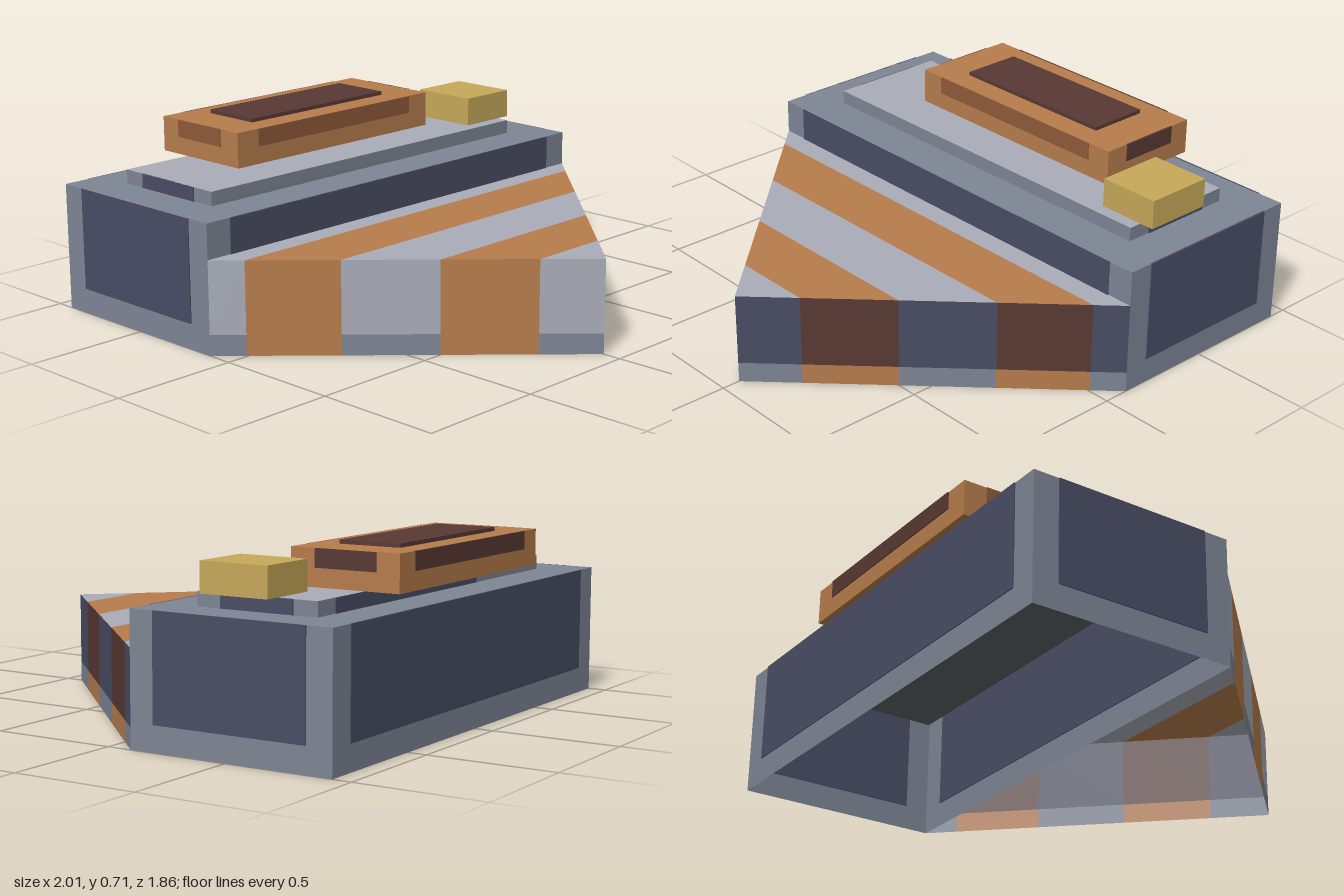
import * as THREE from 'three';

const mat = (name, color) => {
  const m = new THREE.MeshStandardMaterial({ color, side: THREE.DoubleSide });
  m.name = name;
  return m;
};

export function createModel() {
  const frame = mat('midGrey', 0x7d8594);
  const light = mat('lightGrey', 0xa9adb8);
  const orange = mat('orange', 0xb67c4c);
  const navy = mat('navy', 0x494d64);
  const dark = mat('darkBrown', 0x583933);
  const brown = mat('midBrown', 0x8e5a3a);
  const gold = mat('gold', 0xc6a859);
  const charcoal = mat('charcoal', 0x5b5f62);

  const model = new THREE.Group();
  const add = (parent, name, geometry, material) => {
    const m = new THREE.Mesh(geometry, material);
    m.name = name;
    parent.add(m);
    return m;
  };
  // Box given by its extents on each axis
  const box = (name, [x0, x1], [y0, y1], [z0, z1], material) => {
    const m = add(model, name, new THREE.BoxGeometry(x1 - x0, y1 - y0, z1 - z0), material);
    m.position.set((x0 + x1) / 2, (y0 + y1) / 2, (z0 + z1) / 2);
    return m;
  };
  // Flat face from four corners, counter-clockwise from its front
  const quad = (parent, name, a, b, c, d, material) => {
    const g = new THREE.BufferGeometry();
    g.setAttribute('position', new THREE.Float32BufferAttribute([...a, ...b, ...c, ...a, ...c, ...d], 3));
    g.computeVertexNormals();
    return add(parent, name, g, material);
  };
  const T = 0.004; // half thickness of inset panels

  // Rear hull: box open at the bottom
  const hull = box('hull', [-1, 1], [0, 0.5], [-0.927, -0.1], frame);
  const hg = hull.geometry;
  const index = Array.from(hg.index.array);
  index.splice(18, 6);
  hg.setIndex(index);
  hg.clearGroups();
  box('hullCeiling', [-0.99, 0.99], [0.488, 0.494], [-0.917, -0.11], charcoal);

  // Dark panels on the four hull walls
  for (const [name, z] of [['hullFrontPanel', -0.1], ['hullBackPanel', -0.927]])
    box(name, [-0.89, 0.89], [0.1, 0.5], [z - T, z + T], navy);
  for (const [name, x] of [['hullLeftPanel', 1], ['hullRightPanel', -1]])
    box(name, [x - T, x + T], [0.1, 0.5], [-0.825, -0.2], navy);

  // Deck slab with light top and dark end panels
  box('deckSlab', [-0.83, 0.83], [0.5, 0.555], [-0.763, -0.268], [frame, frame, light, frame, frame, frame]);
  for (const x of [-0.83, 0.83])
    box('slabEndPanel', [x - T, x + T], [0.5, 0.555], [-0.665, -0.367], navy);
  box('slabBackPanel', [-0.3, 0.72], [0.5, 0.555], [-0.763 - T, -0.763 + T], navy);

  // Orange housing with panels and a raised lid plate
  box('housing', [-0.527, 0.527], [0.555, 0.695], [-0.903, -0.46], orange);
  box('housingFrontPanel', [-0.422, 0.422], [0.625, 0.695], [-0.46 - T, -0.46 + T], brown);
  box('housingBackPanel', [-0.422, 0.422], [0.625, 0.695], [-0.903 - T, -0.903 + T], dark);
  box('housingLeftPanel', [0.527 - T, 0.527 + T], [0.625, 0.695], [-0.81, -0.56], dark);
  box('housingRightPanel', [-0.527 - T, -0.527 + T], [0.625, 0.695], [-0.81, -0.56], brown);
  box('lidPlate', [-0.362, 0.362], [0.69, 0.71], [-0.81, -0.56], dark);

  // Gold block on the side
  box('goldBlock', [0.64, 0.89], [0.555, 0.67], [-0.6, -0.32], gold);

  // Striped wedge nose, open below, sliced into bands along z
  const nose = new THREE.Group();
  nose.name = 'nose';
  model.add(nose);
  const tip = 0.927, H = 0.363, B = 0.08;
  const half = (z) => (tip - z) / (tip + 0.1);
  const cuts = [-0.1, -0.013, 0.243, 0.5, 0.757, tip];
  cuts[1] = -0.005;
  for (let i = 0; i < 5; i++) {
    const [z0, z1] = [cuts[i], cuts[i + 1]];
    const [w0, w1] = [half(z0), half(z1)];
    const striped = i % 2 === 1;
    quad(nose, 'noseTop', [-w0, H, z0], [-w1, H, z1], [w1, H, z1], [w0, H, z0], striped ? orange : light);
    const bands = [
      [0, B, striped ? orange : frame, striped ? orange : frame],
      [B, H, striped ? dark : navy, striped ? orange : light],
    ];
    for (const [y0, y1, leftMat, rightMat] of bands) {
      quad(nose, 'noseLeftWall', [w1, y0, z1], [w0, y0, z0], [w0, y1, z0], [w1, y1, z1], leftMat);
      quad(nose, 'noseRightWall', [-w0, y0, z0], [-w1, y0, z1], [-w1, y1, z1], [-w0, y1, z0], rightMat);
    }
  }
  return model;
}
